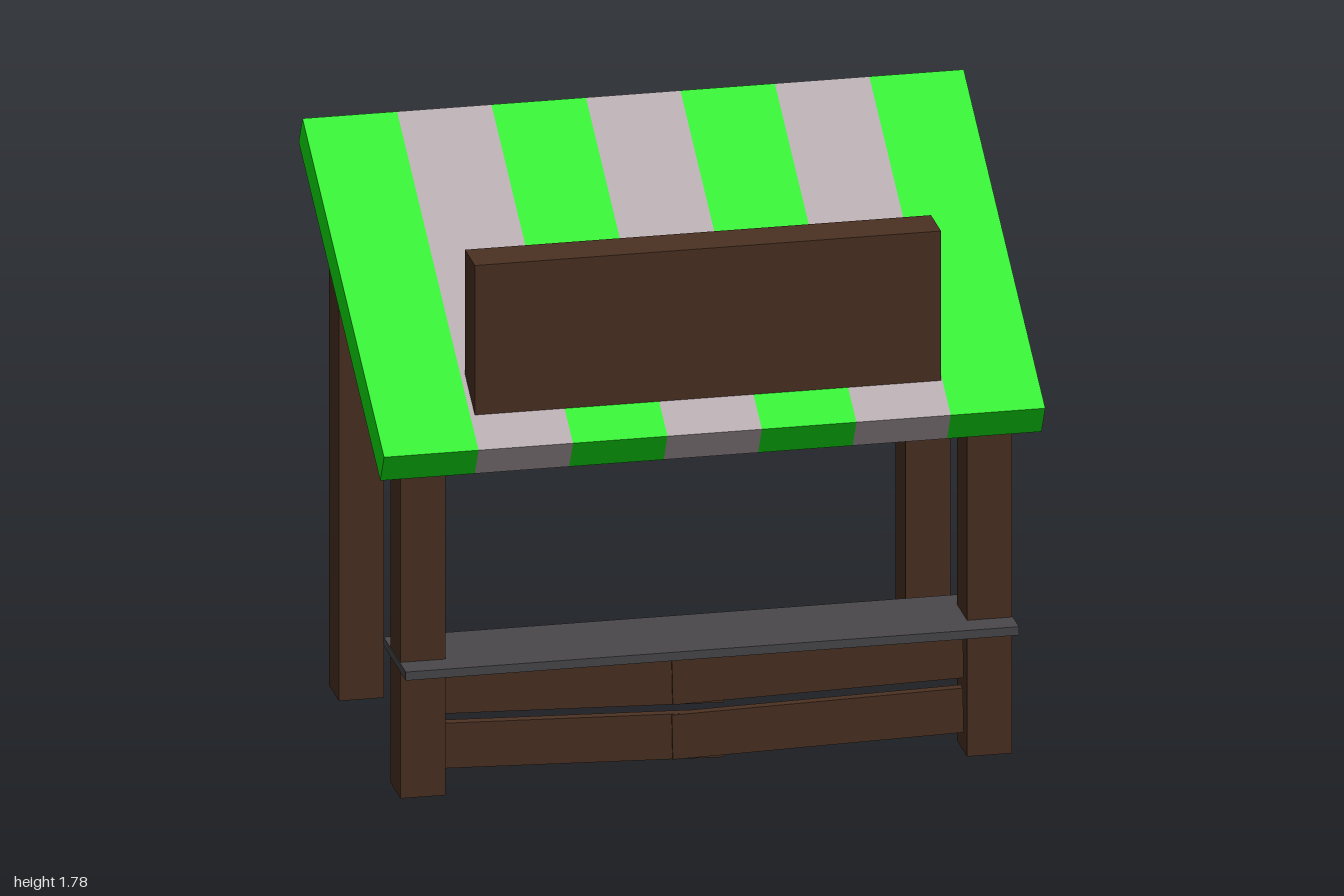
import * as THREE from 'three';

const SLOPE = Math.PI / 6;
const material = (color) => new THREE.MeshStandardMaterial({ color, flatShading: true });

export function createModel() {
  const stall = new THREE.Group();
  stall.name = 'marketStall';
  const wood = material(0x4b3122);
  const slate = material(0x4a484b);
  const green = material(0x10ee10);
  const pale = material(0xb5a9ad);

  function add(name, geometry, mat, x = 0, y = 0, z = 0) {
    const mesh = new THREE.Mesh(geometry, mat);
    mesh.name = name;
    mesh.position.set(x, y, z);
    stall.add(mesh);
    return mesh;
  }

  const box = (name, mat, w, h, d, x, y, z) =>
    add(name, new THREE.BoxGeometry(w, h, d), mat, x, y, z);

  // Prism with a side profile of [z, y] points, centred on x
  function prism(name, profile, width, x) {
    const shape = new THREE.Shape(profile.map(([z, y]) => new THREE.Vector2(z, y)));
    const geometry = new THREE.ExtrudeGeometry(shape, { depth: width, bevelEnabled: false });
    geometry.rotateY(-Math.PI / 2).translate(width / 2, 0, 0);
    return add(name, geometry, wood, x);
  }

  // Height of the roof underside at depth z, and a bar hung beneath it
  const under = (z) => 1.343 - z * Math.tan(SLOPE);
  const hung = (z0, z1, drop) => [
    [z0, under(z0) - drop], [z1, under(z1) - drop], [z1, under(z1)], [z0, under(z0)],
  ];

  // Posts with slanted tops, and the sloping side rafters
  for (const side of [-1, 1]) {
    const x = side * 0.857;
    for (const [name, z0, z1] of [['frontPost', 0.34, 0.48], ['backPost', -0.52, -0.38]]) {
      prism(name, [[z0, 0], [z1, 0], [z1, under(z1)], [z0, under(z0)]], 0.136, x);
    }
    prism('sideRafter', hung(-0.38, 0.34, 0.08), 0.136, x);
  }
  prism('backBeam', hung(-0.52, -0.38, 0.08), 1.578, 0);

  // Striped sloping roof
  const roof = new THREE.Group();
  roof.name = 'roof';
  const stripes = 7;
  const stripeWidth = 2 / stripes;
  for (let i = 0; i < stripes; i++) {
    const stripe = box('roofStripe', i % 2 ? pale : green, stripeWidth, 0.107, 1.318,
      -1 + (i + 0.5) * stripeWidth, 0, 0);
    roof.add(stripe);
  }
  roof.position.y = 1.405;
  roof.rotation.x = SLOPE;
  stall.add(roof);

  // Sign board rising out of the roof
  box('signBoard', wood, 1.41, 0.5, 0.14, 0.005, 1.41, 0.41);

  // Counter
  box('counter', slate, 1.855, 0.027, 0.31, 0, 0.415, 0.41);

  // Two sagging front planks, each of two overlapping halves
  for (const drop of [0, 0.172]) {
    const first = box('frontPlank', wood, 0.855, 0.142, 0.03, -0.365, 0.303 - drop, 0.438);
    first.rotation.z = -0.035;
    const second = box('frontPlank', wood, 0.88, 0.14, 0.03, 0.342, 0.302 - drop, 0.444);
    second.rotation.z = 0.02;
  }

  return stall;
}
